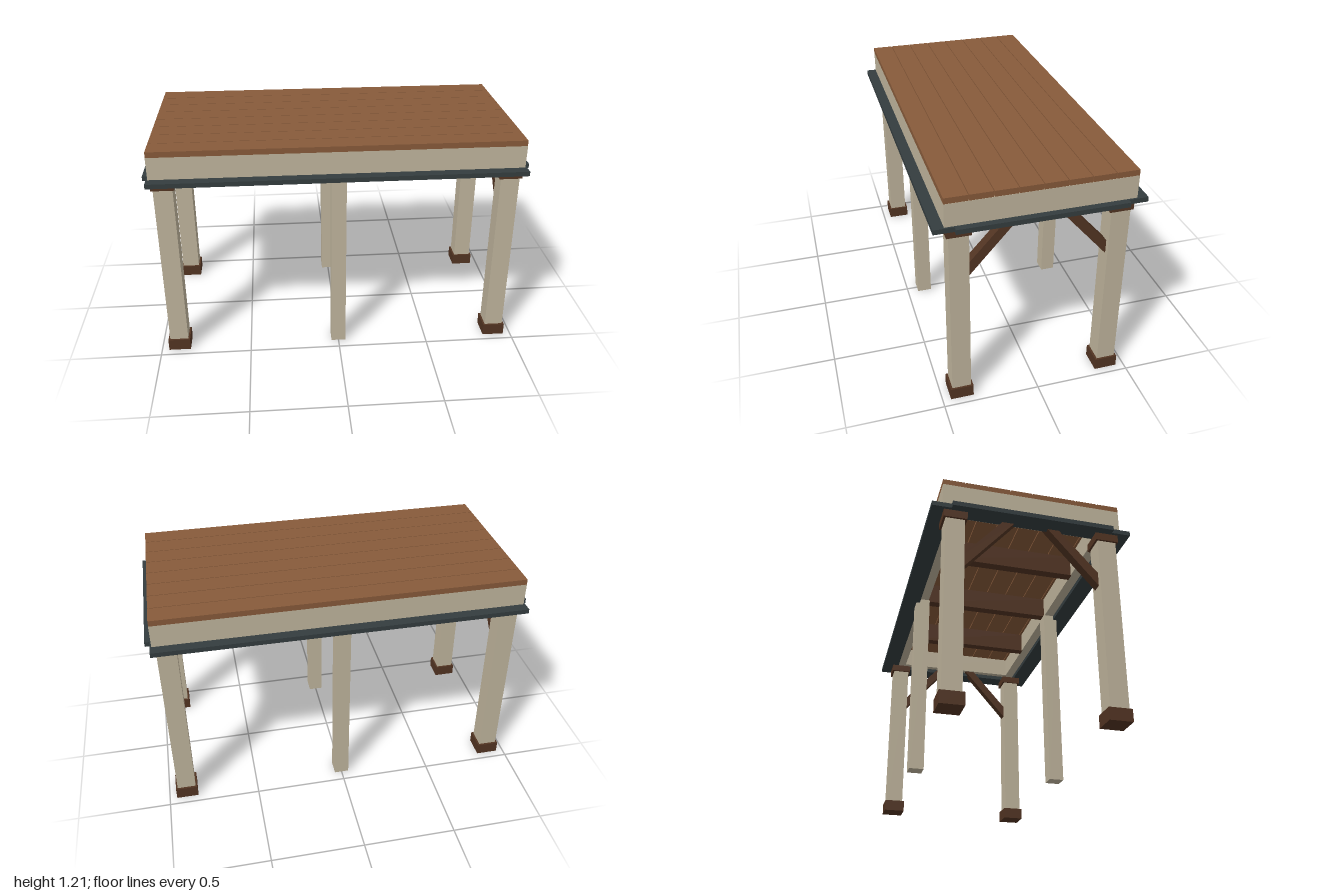
import * as THREE from 'three';

const mat = (color) => new THREE.MeshStandardMaterial({ color, flatShading: true });

export function createModel() {
  const model = new THREE.Group();
  const cream = mat(0xbfb49c), plankBrown = mat(0x875a3a), darkBrown = mat(0x523422), slate = mat(0x343d3f);

  // Box given by its min and max on each axis
  const box = (name, material, [x0, x1], [y0, y1], [z0, z1]) => {
    const mesh = new THREE.Mesh(new THREE.BoxGeometry(x1 - x0, y1 - y0, z1 - z0), material);
    mesh.position.set((x0 + x1) / 2, (y0 + y1) / 2, (z0 + z1) / 2);
    mesh.name = name;
    model.add(mesh);
  };
  const around = (c, size) => [c - size / 2, c + size / 2];

  // Roof planks with narrow gaps
  const pitch = 0.117;
  for (let i = 0; i < 8; i++) {
    box('roofPlank', plankBrown, [-0.965, 0.965], [1.18, 1.21], around((i - 3.5) * pitch, 0.113));
  }

  // Cross joists between the long beams
  for (const x of [-0.485, 0, 0.485]) {
    box('joist', darkBrown, around(x, 0.05), [1.06, 1.18], [-0.37, 0.37]);
  }

  for (const s of [-1, 1]) {
    // Rim beams: the end beams run the full depth
    box('endBeam', cream, around(s * 0.916, 0.1), [1.06, 1.18], [-0.466, 0.466]);
    box('longBeam', cream, [-0.866, 0.866], [1.06, 1.18], around(s * 0.416, 0.1));

    // Flat trim under the rim
    box('longTrim', slate, [-0.975, 0.975], [1.035, 1.06], around(s * 0.47, 0.1));
    box('endTrim', slate, around(s * 0.95, 0.1), [1.035, 1.06], [-0.42, 0.42]);

    // Middle post
    box('middlePost', cream, around(0, 0.08), [0, 1.06], around(s * 0.4, 0.08));

    // Corner posts with base and cap blocks, and diagonal braces
    for (const t of [-1, 1]) {
      const x = s * 0.9, z = t * 0.397;
      box('cornerPost', cream, around(x, 0.1), [0.03, 1.03], around(z, 0.098));
      box('postBase', darkBrown, around(x, 0.12), [0, 0.065], around(z, 0.12));
      box('postCap', darkBrown, around(x, 0.12), [0.993, 1.035], around(z, 0.12));

      const outline = [[0.35, 0.735], [0.35, 0.81], [0.128, 1.06], [0.068, 1.06]];
      const shape = new THREE.Shape(outline.map(([a, b]) => new THREE.Vector2(t * a, b)));
      const geometry = new THREE.ExtrudeGeometry(shape, { depth: 0.05, bevelEnabled: false });
      geometry.translate(0, 0, -0.025).rotateY(-Math.PI / 2);
      const brace = new THREE.Mesh(geometry, darkBrown);
      brace.position.x = x;
      brace.name = 'brace';
      model.add(brace);
    }
  }
  return model;
}
